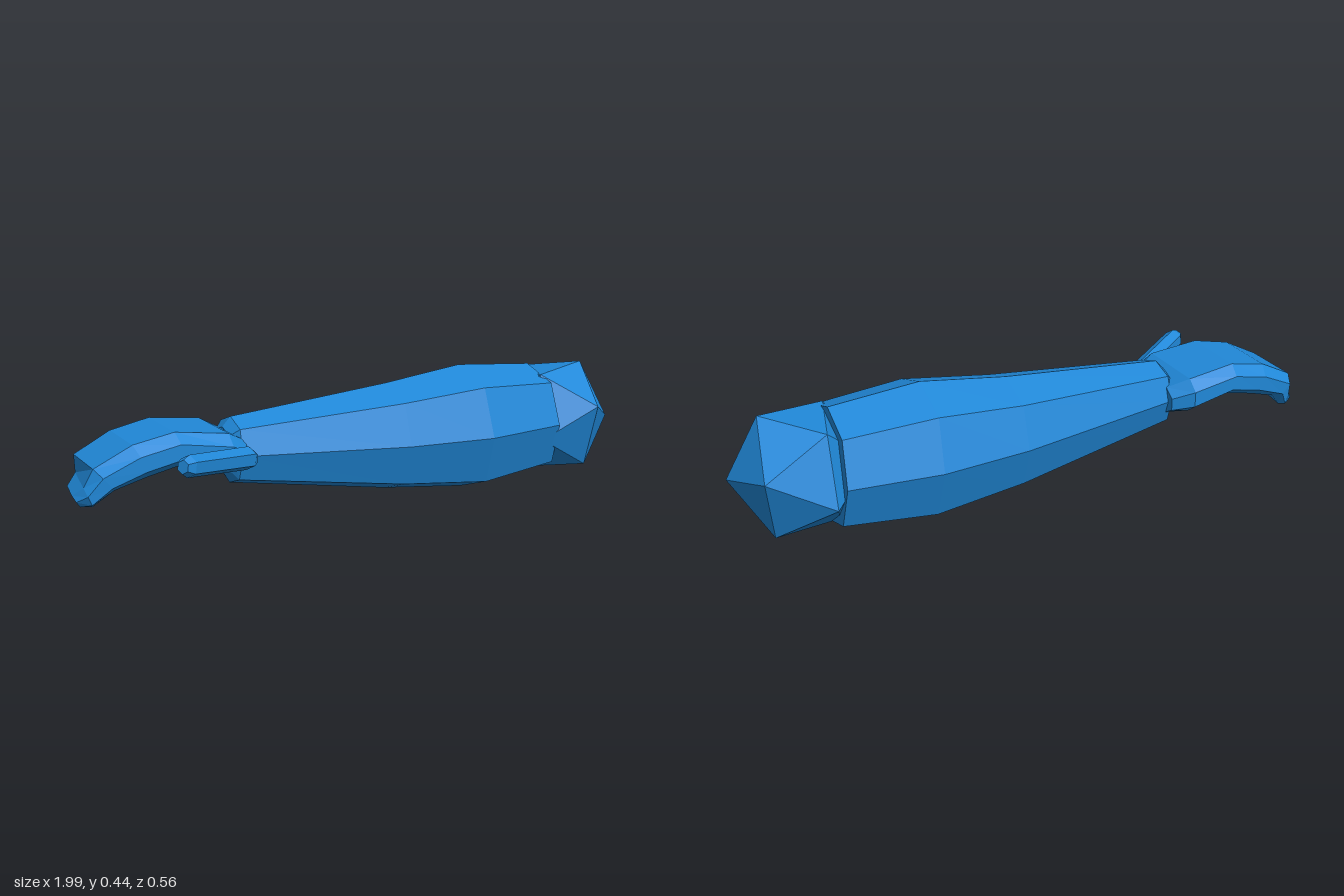
import * as THREE from 'three';
import { ConvexGeometry } from 'three/addons/geometries/ConvexGeometry.js';

const V = (x, y, z) => new THREE.Vector3(x, y, z);

// Skin a list of equal-sized rings (ordered towards +x) and close both ends
function loft(rings) {
  const n = rings[0].length, last = rings.length - 1, index = [];
  for (let i = 0; i < last; i++) {
    for (let j = 0; j < n; j++) {
      const k = (j + 1) % n, a = i * n, b = a + n;
      index.push(a + j, a + k, b + k, a + j, b + k, b + j);
    }
  }
  for (let j = 1; j < n - 1; j++) {
    index.push(0, j + 1, j, last * n, last * n + j, last * n + j + 1);
  }
  const geometry = new THREE.BufferGeometry().setFromPoints(rings.flat());
  geometry.setIndex(index);
  const flat = geometry.toNonIndexed();
  flat.computeVertexNormals();
  return flat;
}

// Octagonal forearm: x, centre y, centre z, radius, lean of the section
function forearmGeometry() {
  const sections = [
    [-0.495, 0.245, -0.04, 0.075, 0],
    [-0.47, 0.243, -0.042, 0.107, 0.04],
    [0.1, 0.22, -0.06, 0.182, 0],
    [0.4, 0.222, -0.062, 0.218, -0.04],
    [0.7, 0.227, -0.075, 0.19, -0.05],
  ];
  return loft(sections.map(([x, y, z, r, lean]) =>
    Array.from({ length: 8 }, (_, i) => {
      const a = i * Math.PI / 4, s = i % 2 ? r * 1.06 : r;
      return V(x + lean * s * Math.cos(a), y + s * Math.cos(a), z + s * Math.sin(a));
    })));
}

// Cupped hand: top x, top y, bottom x, bottom y, back z, front z, slant
function handGeometry() {
  const sections = [
    [-1, 0.175, -0.975, 0.14, -0.145, 0.05, 0.15],
    [-0.975, 0.205, -0.95, 0.145, -0.18, 0.09, 0.15],
    [-0.94, 0.26, -0.88, 0.187, -0.19, 0.097, 0],
    [-0.82, 0.32, -0.78, 0.217, -0.2, 0.103, 0],
    [-0.69, 0.346, -0.67, 0.243, -0.207, 0.108, 0],
    [-0.52, 0.325, -0.52, 0.21, -0.215, 0.115, 0],
    [-0.455, 0.29, -0.455, 0.2, -0.175, 0.08, 0],
  ];
  return loft(sections.map(([tx, ty, bx, by, z0, z1, slant]) => {
    const c = 0.04;
    const outline = [[z0, 0.25], [z0, 0.7], [z0 + c, 1], [z1 - c, 1],
      [z1, 0.7], [z1, 0.25], [z1 - c, 0], [z0 + c, 0]];
    return outline.map(([z, t]) =>
      V(bx + (tx - bx) * t + slant * (z1 - z), by + (ty - by) * t, z));
  }));
}

// Twenty-sided elbow: two poles and two staggered five-point rings
function elbowGeometry() {
  const r = 0.22, centre = V(0.787, 0.225, -0.062);
  const axis = V(0.967, -0.07, 0.235).normalize();
  const up = V(0.02, 0.196, 0);
  up.addScaledVector(axis, -up.dot(axis)).normalize();
  const side = axis.clone().cross(up);
  const points = [];
  const addPair = (offset) => points.push(centre.clone().add(offset), centre.clone().sub(offset));
  addPair(axis.clone().multiplyScalar(r));
  for (let i = 0; i < 5; i++) {
    const a = i * Math.PI * 0.4;
    addPair(axis.clone().multiplyScalar(r * 0.447)
      .addScaledVector(up, r * 0.894 * Math.cos(a))
      .addScaledVector(side, r * 0.894 * Math.sin(a)));
  }
  return new ConvexGeometry(points);
}

// Six-sided thumb with bevelled ends, laid between two points
function thumbGeometry() {
  const from = V(-0.445, 0.24, 0.075), to = V(-0.738, 0.289, 0.264);
  const d = to.clone().sub(from), len = d.length();
  const profile = [[0, 0], [0.025, 0], [0.037, 0.025], [0.034, len - 0.025], [0.021, len], [0, len]];
  const geometry = new THREE.LatheGeometry(profile.map(([x, y]) => new THREE.Vector2(x, y)), 6);
  geometry.applyQuaternion(new THREE.Quaternion().setFromUnitVectors(V(0, 1, 0), d.normalize()));
  geometry.translate(from.x, from.y, from.z);
  return geometry;
}

export function createModel() {
  const group = new THREE.Group();
  group.name = 'lowerArm';
  const material = new THREE.MeshStandardMaterial({ color: 0x2088d8, flatShading: true });
  const parts = {
    forearm: forearmGeometry(),
    elbow: elbowGeometry(),
    hand: handGeometry(),
    thumb: thumbGeometry(),
  };
  for (const [name, geometry] of Object.entries(parts)) {
    const mesh = new THREE.Mesh(geometry, material);
    mesh.name = name;
    group.add(mesh);
  }
  return group;
}
